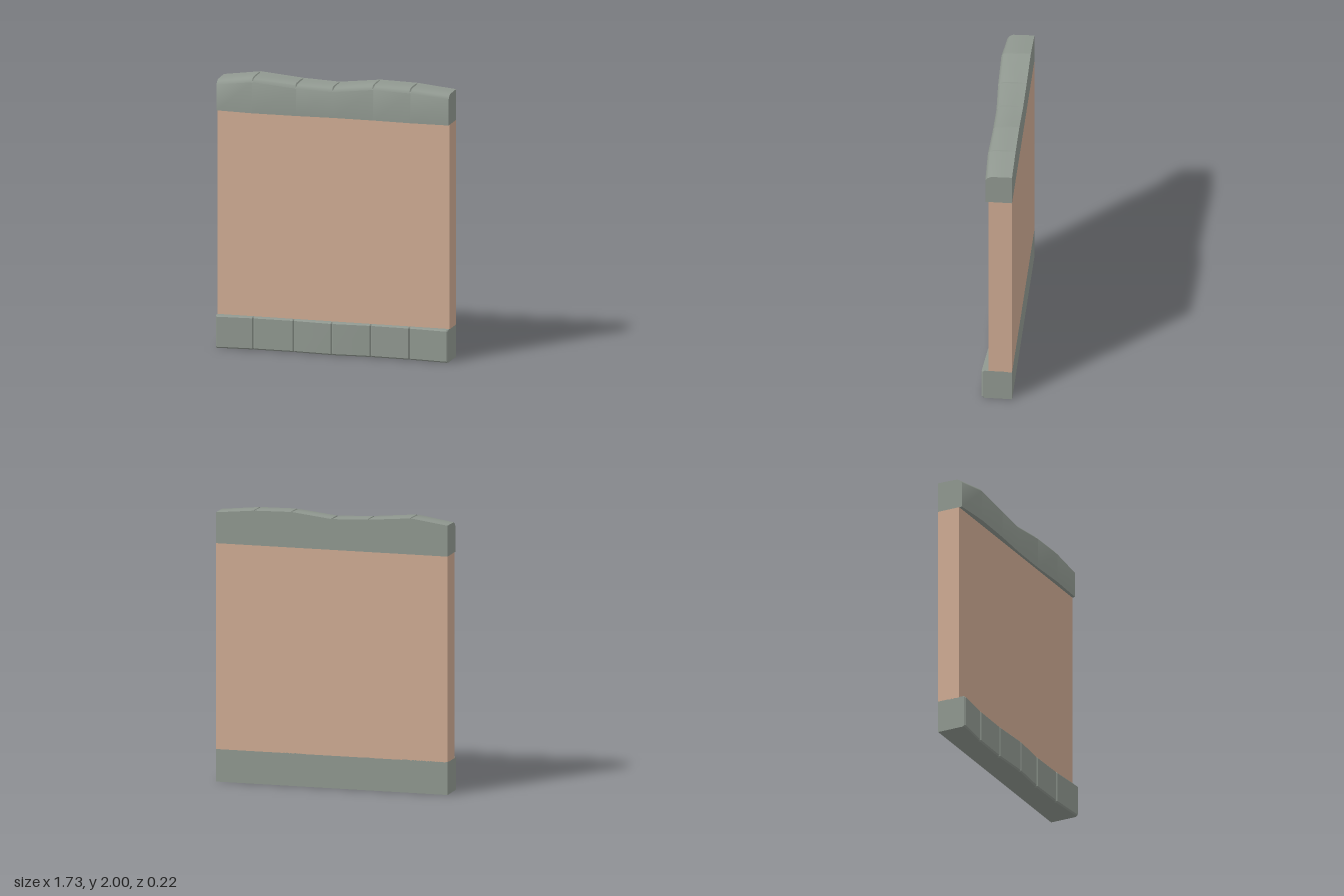
import * as THREE from 'three';
import { toCreasedNormals } from 'three/addons/utils/BufferGeometryUtils.js';

const HALF = 0.865, BACK = -0.11;

// Joins closed cross-sections (lists of [x, y, z], bottom back -> front -> top) along x
function loft(sections, crease) {
  const pos = [];
  const tri = (a, b, c) => pos.push(...a, ...b, ...c);
  const n = sections[0].length;
  for (let i = 0; i < sections.length - 1; i++) {
    const A = sections[i], B = sections[i + 1];
    for (let k = 0; k < n; k++) {
      const m = (k + 1) % n;
      tri(A[k], B[k], B[m]);
      tri(A[k], B[m], A[m]);
    }
  }
  const first = sections[0], last = sections[sections.length - 1];
  for (let k = 1; k < n - 1; k++) {
    tri(first[0], first[k], first[k + 1]);
    tri(last[0], last[k + 1], last[k]);
  }
  const g = new THREE.BufferGeometry();
  g.setAttribute('position', new THREE.Float32BufferAttribute(pos, 3));
  g.computeVertexNormals();
  return toCreasedNormals(g, crease);
}

// Linear interpolation through [x, a, b] rows
function sample(rows, x) {
  let i = 0;
  while (i < rows.length - 2 && x > rows[i + 1][0]) i++;
  const t = (x - rows[i][0]) / (rows[i + 1][0] - rows[i][0]);
  return rows[i].map((v, k) => v + (rows[i + 1][k] - v) * t);
}

// Stations along x: each joint becomes [before, centre (cut), after]
function stations(rows, w, cutEnds) {
  const out = [];
  rows.forEach(([x], i) => {
    const end = i === 0 || i === rows.length - 1;
    if (i > 0 && (!end || cutEnds)) out.push([x - w, 0]);
    out.push([x, end && !cutEnds ? 0 : 1]);
    if (i < rows.length - 1 && (!end || cutEnds)) out.push([x + w, 0]);
  });
  return out;
}

export function createModel() {
  const group = new THREE.Group();
  const plaster = new THREE.MeshStandardMaterial({ color: 0xcfab93 });
  plaster.name = 'tan plaster';
  const stone = new THREE.MeshStandardMaterial({ color: 0x909890 });
  stone.name = 'grey stone';
  const add = (name, geometry, material) => {
    const mesh = new THREE.Mesh(geometry, material);
    mesh.name = name;
    group.add(mesh);
    return mesh;
  };

  // Wall panel
  add('wallPanel', new THREE.BoxGeometry(HALF * 2, 1.5, 0.17), plaster).position.set(0, 0.987, -0.025);

  // Base course: bevelled blocks with a gently waving front [x, front z]
  const baseRows = [[-HALF, 0.11], [-0.59, 0.088], [-0.29, 0.085], [0, 0.102],
    [0.285, 0.083], [0.575, 0.088], [HALF, 0.11]];
  const base = stations(baseRows, 0.009, true).map(([x, cut]) => {
    const f = sample(baseRows, x)[1] - cut * 0.012, b = 0.01;
    return [[0, BACK], [0, f - b], [b, f], [0.24 - b, f], [0.24, f - b], [0.24, BACK]]
      .map(([y, z]) => [x, y, z]);
  });
  add('baseStones', loft(base, 0.3), stone);

  // Top course: worn stones with an uneven crest and small joint notches [x, top y, front z]
  const capRows = [[-HALF, 1.962, 0.082], [-0.59, 2.0, 0.102], [-0.27, 1.972, 0.096],
    [0, 1.961, 0.082], [0.3, 1.996, 0.08], [0.58, 1.99, 0.09], [HALF, 1.962, 0.082]];
  const cap = stations(capRows, 0.007, false).map(([x, cut]) => {
    const [, top, f] = sample(capRows, x);
    const t = top - cut * 0.01;
    return [[1.737, BACK], [1.737, f], [top - 0.035, f], [t - 0.014, f - 0.018],
      [t - 0.003, f - 0.04], [t, BACK + 0.06], [top, BACK]].map(([y, z]) => [x, y, z]);
  });
  add('capStones', loft(cap, 0.75), stone);

  return group;
}
